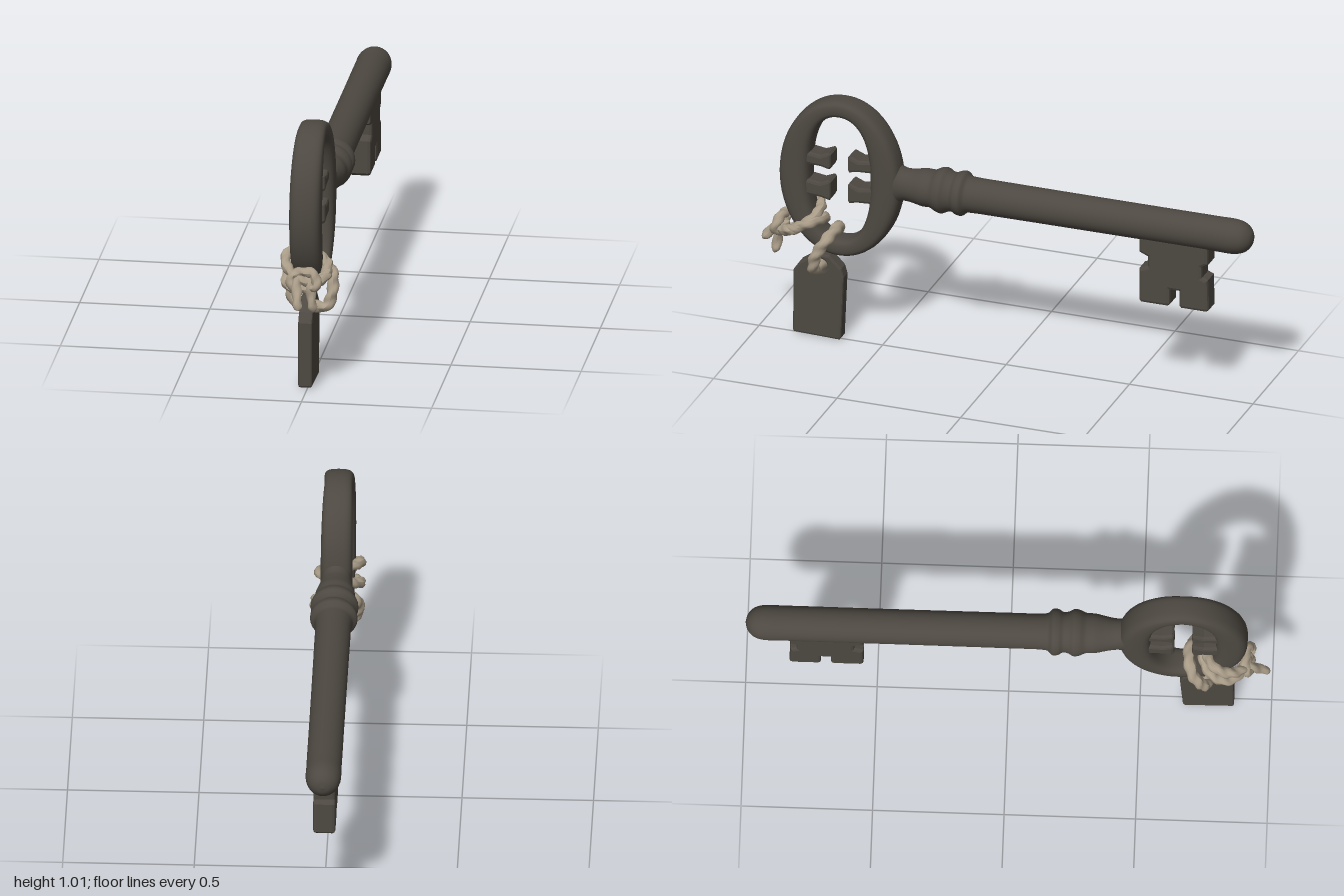
import * as THREE from 'three';
import { ParametricGeometry } from 'three/addons/geometries/ParametricGeometry.js';

const CX = -0.006, BOW_Y = 0.685, BOW_Z = 0.665;
const V = (x, y, z) => new THREE.Vector3(x, y, z);
const spow = (v, e) => Math.sign(v) * Math.pow(Math.abs(v), e);

export function createModel() {
  const model = new THREE.Group();
  const iron = new THREE.MeshStandardMaterial({ color: 0x4d4841 });
  iron.name = 'dark iron';
  const twine = new THREE.MeshStandardMaterial({ color: 0xa89b87 });
  twine.name = 'twine';

  const add = (name, geometry, material = iron) => {
    const mesh = new THREE.Mesh(geometry, material);
    mesh.name = name;
    model.add(mesh);
    return mesh;
  };

  // Bevelled plate drawn as [z, y] points, thickness along x
  const slab = (name, points, thickness, bevel, x = CX, hole = null) => {
    const shape = new THREE.Shape(points.map(([z, y]) => new THREE.Vector2(z, y)));
    if (hole) shape.holes.push(new THREE.Path().absarc(hole[0], hole[1], hole[2], 0, Math.PI * 2, true));
    const depth = thickness - 2 * bevel;
    const g = new THREE.ExtrudeGeometry(shape, {
      depth, bevelEnabled: true, bevelThickness: bevel, bevelSize: bevel,
      bevelOffset: -bevel, bevelSegments: 2, curveSegments: 10,
    });
    g.translate(0, 0, -depth / 2);
    g.rotateY(-Math.PI / 2);
    g.translate(x, 0, 0);
    return add(name, g);
  };

  // Shaft with rounded tip, collar and flared neck: z, half width, half height
  const profile = new THREE.CatmullRomCurve3([
    [-1, 0.001, 0.001], [-0.992, 0.03, 0.03], [-0.97, 0.054, 0.054], [-0.935, 0.066, 0.066],
    [-0.85, 0.067, 0.067], [-0.5, 0.067, 0.067], [0, 0.068, 0.068], [0.125, 0.069, 0.069],
    [0.15, 0.073, 0.071], [0.17, 0.09, 0.086], [0.19, 0.088, 0.084], [0.21, 0.077, 0.076],
    [0.23, 0.081, 0.08], [0.25, 0.091, 0.089], [0.27, 0.088, 0.086], [0.295, 0.078, 0.073],
    [0.33, 0.076, 0.073], [0.37, 0.067, 0.066], [0.405, 0.06, 0.064], [0.435, 0.057, 0.078],
    [0.46, 0.055, 0.115], [0.49, 0.053, 0.17],
  ].map((p) => V(...p)), false, 'centripetal');
  add('shaft', new ParametricGeometry((u, v, target) => {
    const p = profile.getPoint(THREE.MathUtils.clamp(v, 0, 1));
    const a = u * Math.PI * 2;
    target.set(CX + p.y * Math.cos(a), 0.69 + p.z * Math.sin(a), p.x);
  }, 28, 110));

  // Oval bow with a squarish rounded section
  add('bow', new ParametricGeometry((u, v, target) => {
    const phi = u * Math.PI * 2, t = v * Math.PI * 2;
    const c = Math.cos(t), s = Math.sin(t);
    const outZ = 0.245 * c, outY = 0.325 * s;
    const inZ = 0.124 * spow(c, 0.85), inY = 0.255 * spow(s, 0.85);
    const k = (1 + spow(Math.cos(phi), 0.65)) / 2;
    const halfX = 0.053 + 0.008 * Math.abs(c);
    target.set(CX + halfX * spow(Math.sin(phi), 0.65),
      BOW_Y + inY + (outY - inY) * k, BOW_Z + inZ + (outZ - inZ) * k);
  }, 24, 72));

  // Four teeth reaching into the bow opening
  for (const side of [1, -1]) {
    for (const [low, high] of [[0.717, 0.787], [0.588, 0.672]]) {
      const at = (d, y) => [BOW_Z + side * d, y];
      const pts = [at(0.15, low + 0.012), at(0.075, low + 0.008), at(0.04, low),
        at(0.034, low + 0.012), at(0.034, high - 0.008), at(0.042, high),
        at(0.078, high - 0.015), at(0.15, high - 0.005)];
      slab('bowTooth', side > 0 ? pts.reverse() : pts, 0.085, 0.012);
    }
  }

  // Bit at the tip of the shaft
  slab('bit', [
    [-0.83, 0.66], [-0.83, 0.57], [-0.805, 0.555], [-0.805, 0.512], [-0.828, 0.503],
    [-0.832, 0.38], [-0.822, 0.37], [-0.72, 0.37], [-0.712, 0.38], [-0.712, 0.44],
    [-0.675, 0.44], [-0.675, 0.38], [-0.665, 0.37], [-0.558, 0.37], [-0.55, 0.38],
    [-0.55, 0.51], [-0.585, 0.525], [-0.585, 0.565], [-0.55, 0.58], [-0.55, 0.66],
  ], 0.085, 0.012);

  // Hanging tag with a hole
  slab('tag', [
    [0.852, 0.006], [0.67, 0.0], [0.663, 0.01], [0.652, 0.265], [0.662, 0.3],
    [0.71, 0.348], [0.765, 0.348], [0.832, 0.302], [0.857, 0.265], [0.858, 0.012],
  ].reverse(), 0.054, 0.008, -0.008, [0.745, 0.303, 0.026]);

  // Two-strand twisted cord along a curve; open cords taper at the ends
  const cord = (name, points, radius, closed) => {
    const curve = new THREE.CatmullRomCurve3(points.map((p) => V(...p)), closed);
    const length = curve.getLength();
    const n = Math.ceil(length / 0.007), sides = 10;
    const turns = Math.round(length / 0.11);
    const g = new THREE.TubeGeometry(curve, n, radius, sides, closed);
    const pos = g.attributes.position, p = V(0, 0, 0);
    for (let i = 0; i <= n; i++) {
      const t = i / n, centre = curve.getPointAt(t);
      const taper = closed ? 1 : Math.min(1, Math.sqrt(Math.min(t, 1 - t) * 8 + 0.001));
      for (let j = 0; j <= sides; j++) {
        const twist = Math.cos(2 * ((j / sides) + turns * t) * Math.PI * 2);
        p.fromBufferAttribute(pos, i * (sides + 1) + j).sub(centre);
        p.multiplyScalar(taper * (1 + 0.14 * twist)).add(centre);
        pos.setXYZ(i * (sides + 1) + j, p.x, p.y, p.z);
      }
    }
    g.computeVertexNormals();
    return add(name, g, twine);
  };

  // Loop joining the bow and the tag
  cord('tagLoop', [
    [0, 0.302, 0.748], [0.06, 0.305, 0.757], [0.082, 0.37, 0.742], [0.07, 0.435, 0.705],
    [0.01, 0.462, 0.685], [-0.065, 0.435, 0.7], [-0.08, 0.37, 0.735], [-0.055, 0.31, 0.755],
  ], 0.022, true);

  // Two coils wrapped around the lower front of the bow
  for (const [y, z, tilt] of [[0.492, 0.83, 0.025], [0.456, 0.815, -0.022]]) {
    const pts = [];
    for (let i = 0; i < 12; i++) {
      const a = (i / 12) * Math.PI * 2;
      const out = 0.083 * Math.cos(a), x = 0.079 * Math.sin(a);
      pts.push([CX + x, y - 0.45 * out - tilt * Math.sin(a), z + 0.9 * out]);
    }
    cord('bowCoil', pts, 0.02, true);
  }

  // Knot and its loose ends
  cord('knot', [
    [-0.045, 0.475, 0.9], [0.03, 0.485, 0.905], [0.045, 0.44, 0.92],
    [0.0, 0.42, 0.9], [-0.05, 0.435, 0.915],
  ], 0.019, true);
  cord('looseEnd', [[-0.03, 0.47, 0.88], [-0.03, 0.445, 0.925], [-0.024, 0.405, 0.955], [-0.015, 0.362, 0.993]], 0.018, false);
  cord('looseEnd', [[0.015, 0.47, 0.87], [0.022, 0.435, 0.91], [0.025, 0.39, 0.915], [0.036, 0.335, 0.925]], 0.018, false);

  return model;
}
